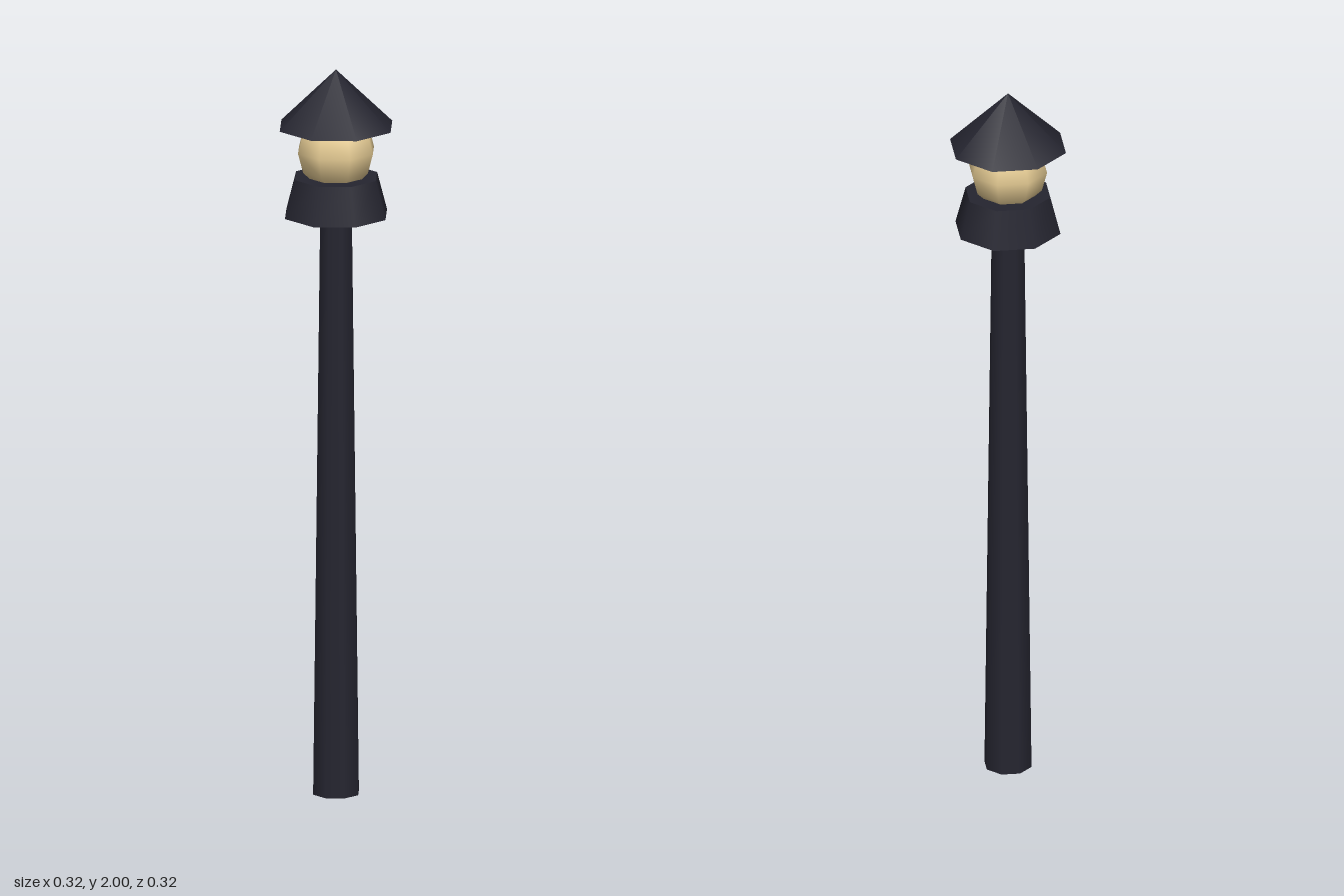
import * as THREE from 'three';

const SIDES = 8;

export function createModel() {
  const group = new THREE.Group();
  const iron = new THREE.MeshStandardMaterial({ color: 0x252530 });
  iron.name = 'dark iron';
  const glow = new THREE.MeshStandardMaterial({ color: 0xe6cc94 });
  glow.name = 'warm lamp glass';

  const add = (name, geometry, material, y) => {
    const mesh = new THREE.Mesh(geometry, material);
    mesh.name = name;
    mesh.position.y = y;
    group.add(mesh);
  };
  // Tapered eight-sided part standing between two heights
  const taper = (name, topRadius, bottomRadius, y0, y1) =>
    add(name, new THREE.CylinderGeometry(topRadius, bottomRadius, y1 - y0, SIDES), iron, (y0 + y1) / 2);

  taper('pole', 0.045, 0.065, 0, 1.6);
  taper('lampCollar', 0.117, 0.145, 1.6, 1.705);
  add('lampGlobe', new THREE.SphereGeometry(0.108, SIDES, 6), glow, 1.777);

  // Pointed roof with a closed underside
  add('roof', new THREE.ConeGeometry(0.16, 0.157, SIDES), iron, 1.9215);

  return group;
}
